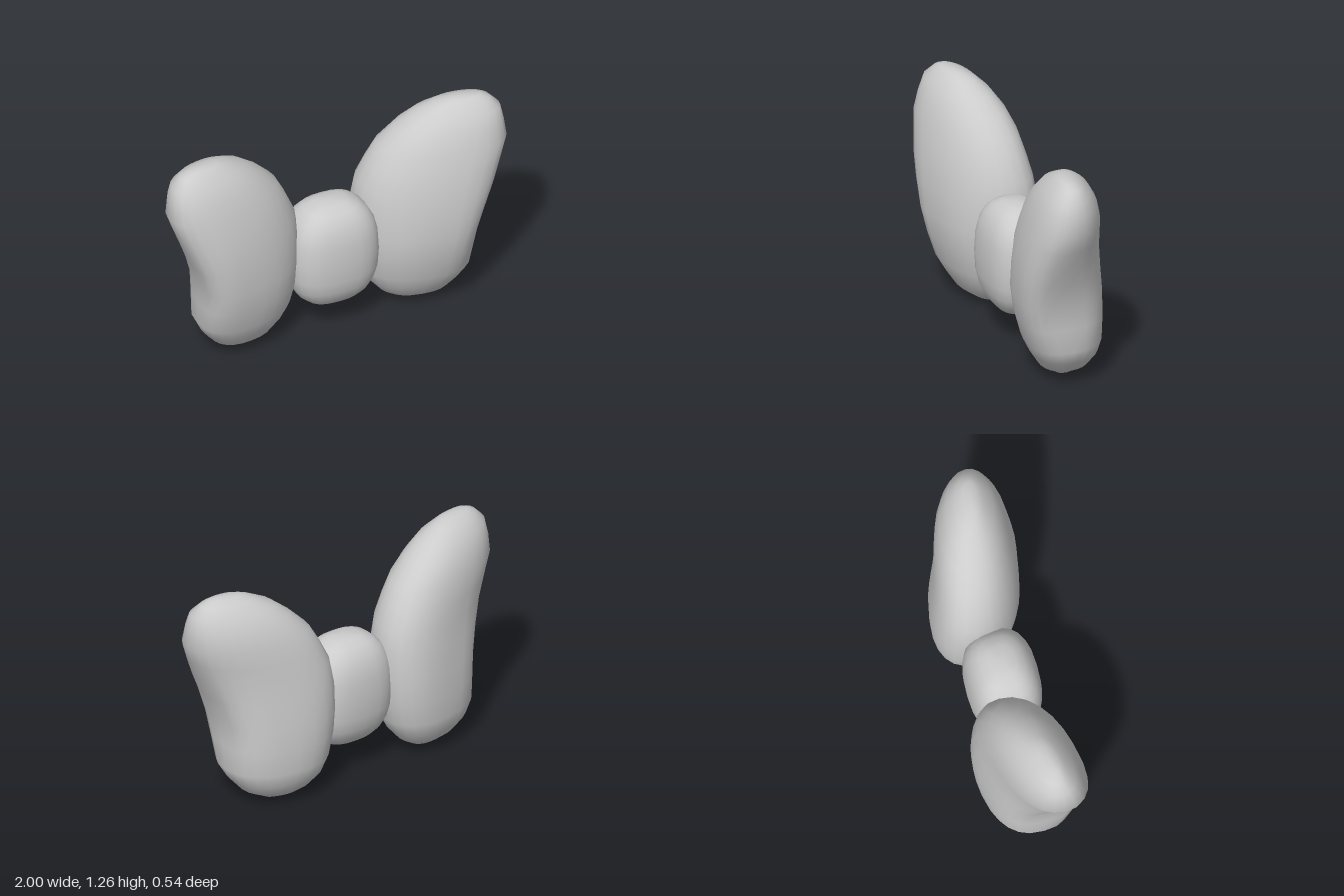
import * as THREE from 'three';

const SEGMENTS = 24;
const material = new THREE.MeshStandardMaterial({ color: 0xcccccc });

// signed power, used for superellipse sections
const spow = (v, e) => Math.sign(v) * Math.abs(v) ** e;

// Closed smooth skin: bottom pole, stacked rings, top pole.
// dir = -1 runs the rings backwards, so that mirrored parts still face outwards.
function skin(name, bottom, rings, top, ringPoint, dir = 1) {
  const pos = [...bottom], idx = [], n = SEGMENTS;
  for (const r of rings)
    for (let i = 0; i < n; i++) pos.push(...ringPoint(r, dir * i / n * Math.PI * 2));
  pos.push(...top);
  const last = 1 + rings.length * n;
  for (let i = 0; i < n; i++) {
    const k = (i + 1) % n;
    idx.push(0, 1 + i, 1 + k);
    for (let j = 0; j < rings.length - 1; j++) {
      const a = 1 + j * n + i, b = 1 + j * n + k;
      idx.push(a, a + n, b, b, a + n, b + n);
    }
    idx.push(last - n + i, last, last - n + k);
  }
  const geo = new THREE.BufferGeometry();
  geo.setAttribute('position', new THREE.Float32BufferAttribute(pos, 3));
  geo.setIndex(idx);
  geo.computeVertexNormals();
  const mesh = new THREE.Mesh(geo, material);
  mesh.name = name;
  return mesh;
}

// Wing sections: [height, inner x, outer x, back z, front z, skew]
const WING = [
  [0.01, 0.46, 0.59, -0.09, 0.02, 0.15],
  [0.03, 0.38, 0.62, -0.135, 0.05, 0.15],
  [0.07, 0.32, 0.70, -0.185, 0.11, 0.15],
  [0.14, 0.26, 0.76, -0.235, 0.155, 0.15],
  [0.22, 0.22, 0.80, -0.255, 0.195, 0.16],
  [0.36, 0.19, 0.80, -0.265, 0.232, 0.18],
  [0.50, 0.18, 0.81, -0.264, 0.255, 0.21],
  [0.65, 0.18, 0.86, -0.25, 0.262, 0.23],
  [0.78, 0.20, 0.915, -0.232, 0.264, 0.23],
  [0.89, 0.25, 0.96, -0.213, 0.253, 0.21],
  [1.00, 0.31, 1.00, -0.19, 0.237, 0.19],
  [1.10, 0.41, 0.99, -0.153, 0.21, 0.18],
  [1.18, 0.51, 0.975, -0.10, 0.175, 0.17],
  [1.235, 0.62, 0.92, -0.04, 0.125, 0.16],
  [1.257, 0.69, 0.87, 0.01, 0.095, 0.15],
];

// Puffy wing: rounded sections, skewed so that the outer edge swings forward,
// with the outer side squarer at mid height, where the edge is pinched in
function wing(name, side) {
  const point = ([y, x0, x1, z0, z1, skew], a) => {
    const w = (x1 - x0) / 2, half = (z1 - z0) / 2;
    const depth = Math.sqrt(half * half - (skew * w) ** 2);
    const pinch = Math.exp(-(((y - 0.5) / 0.28) ** 2));
    const e = Math.cos(a) > 0 ? 0.9 - 0.28 * pinch : 0.9;
    const dx = w * spow(Math.cos(a), e);
    return [side * ((x0 + x1) / 2 + dx), y,
      (z0 + z1) / 2 + skew * dx + depth * spow(Math.sin(a), e)];
  };
  return skin(name, [side * 0.53, 0, -0.03], WING, [side * 0.78, 1.262, 0.055], point, side);
}

// Centre knot: a slightly boxy superellipsoid
function knot() {
  const levels = [];
  for (let i = 1; i < 12; i++) levels.push(-Math.PI / 2 + i * Math.PI / 12);
  const point = (v, a) => {
    const r = spow(Math.cos(v), 0.77);
    return [0.263 * r * spow(Math.cos(a), 0.75), 0.47 + 0.32 * spow(Math.sin(v), 0.8),
      0.01 + 0.2 * r * spow(Math.sin(a), 0.75)];
  };
  return skin('knot', [0, 0.15, 0.01], levels, [0, 0.79, 0.01], point);
}

export function createModel() {
  const group = new THREE.Group();
  group.name = 'bowTie';
  group.add(wing('leftWing', 1), wing('rightWing', -1), knot());
  return group;
}
